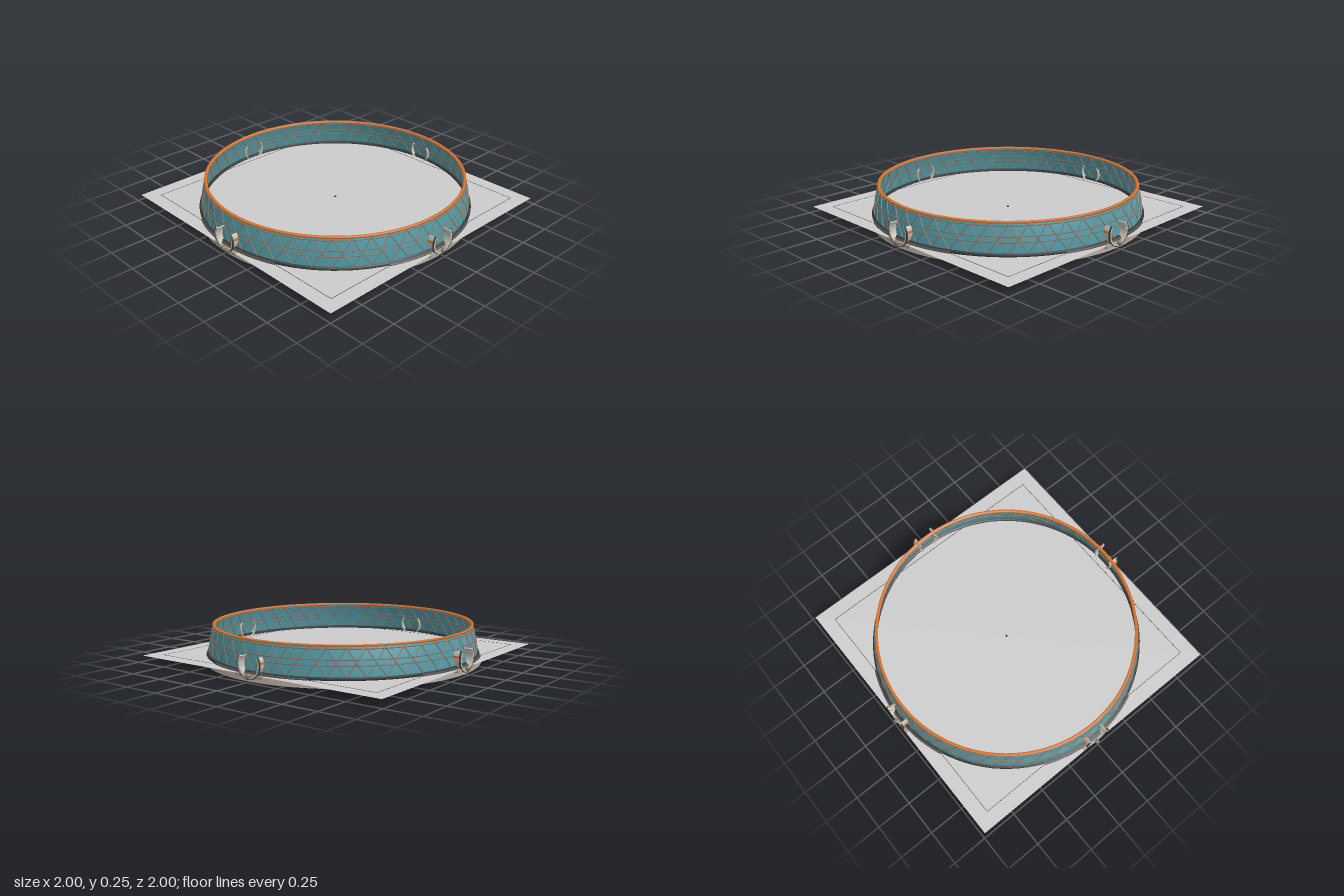
import * as THREE from 'three';

const mat = (color, side = THREE.FrontSide) => new THREE.MeshStandardMaterial({ color, side });
const V = (r, y) => new THREE.Vector2(r, y);

export function createModel() {
  const root = new THREE.Group();
  const stone = mat(0xa89c90), dark = mat(0x3a3a3a), orange = mat(0xe0752a);
  const teal = mat(0x4f98a4, THREE.DoubleSide), strutMat = mat(0x85786c), metal = mat(0xc4beb4, THREE.DoubleSide);

  const add = (parent, name, geometry, material, x = 0, y = 0, z = 0) => {
    const mesh = new THREE.Mesh(geometry, material);
    mesh.name = name;
    mesh.position.set(x, y, z);
    parent.add(mesh);
    return mesh;
  };

  // Round foundation and the thin square ground sheet
  add(root, 'foundation', new THREE.CylinderGeometry(0.955, 0.968, 0.042, 96), stone, 0, 0.021, 0);
  const sheet = add(root, 'groundSheet', new THREE.PlaneGeometry(1.96, 1.96), mat(0xcccccc, THREE.DoubleSide), 0, 0.046, 0);
  sheet.rotation.x = -Math.PI / 2;

  // Thin square outline on the sheet and centre marker
  for (let i = 0; i < 4; i++) {
    const side = new THREE.Group();
    side.name = 'sheetOutline';
    side.rotation.y = i * Math.PI / 2;
    add(side, 'outlineLine', new THREE.BoxGeometry(1.76, 0.001, 0.003), dark, 0, 0.0465, 0.88);
    root.add(side);
  }
  add(root, 'centreMarker', new THREE.CylinderGeometry(0.008, 0.008, 0.004, 12), dark, 0, 0.048, 0);

  // Dark footing ring below the wall
  add(root, 'footingRing', new THREE.LatheGeometry(
    [V(0.925, 0.046), V(0.955, 0.046), V(0.95, 0.062), V(0.925, 0.066), V(0.925, 0.046)], 96), dark);

  // Sloping wall, radius by height
  const radiusAt = y => 0.94 - 0.02 * (y - 0.06) / 0.19 - 0.02 * ((y - 0.06) / 0.19) ** 2;
  const profile = [];
  for (let i = 0; i <= 6; i++) {
    const y = 0.06 + 0.19 * i / 6;
    profile.push(V(radiusAt(y), y));
  }
  add(root, 'wall', new THREE.LatheGeometry(profile, 96), teal);

  // Orange top rim
  add(root, 'topRim', new THREE.LatheGeometry(
    [V(0.89, 0.242), V(0.908, 0.242), V(0.908, 0.254), V(0.89, 0.254), V(0.89, 0.242)], 128), orange);

  // Triangulated lattice of slim struts over the wall
  const lattice = new THREE.Group();
  lattice.name = 'lattice';
  root.add(lattice);
  const count = 48, rows = [0.062, 0.145, 0.236];
  const node = (row, k) => {
    const a = (k + row / 2) * 2 * Math.PI / count, r = radiusAt(rows[row]) + 0.001;
    return new THREE.Vector3(r * Math.sin(a), rows[row], r * Math.cos(a));
  };
  const struts = [];
  for (let row = 0; row < 2; row++) {
    for (let k = 0; k < count; k++) {
      struts.push([node(row, k), node(row + 1, k)], [node(row, k + 1), node(row + 1, k)]);
    }
  }
  const strutGeo = new THREE.CylinderGeometry(0.004, 0.004, 1, 6);
  const up = new THREE.Vector3(0, 1, 0);
  for (const [a, b] of struts) {
    const d = b.clone().sub(a), m = add(lattice, 'strut', strutGeo, strutMat);
    m.position.copy(a).add(b).multiplyScalar(0.5);
    m.scale.y = d.length();
    m.quaternion.setFromUnitVectors(up, d.normalize());
  }
  for (const y of [0.13, 0.165, 0.228]) {
    const hoop = add(lattice, 'hoop', new THREE.TorusGeometry(radiusAt(y), 0.004, 6, 96), strutMat, 0, y, 0);
    hoop.rotation.x = Math.PI / 2;
  }

  // Four doorways: a round tunnel, open at the top, with a front collar
  const start = Math.PI - 0.65, end = 2 * Math.PI + 0.65;
  const arcBand = (outer, inner, depth) => {
    const s = new THREE.Shape();
    s.absarc(0, 0, outer, start, end, false);
    s.absarc(0, 0, inner, end, start, true);
    s.closePath();
    return new THREE.ExtrudeGeometry(s, { depth, bevelEnabled: false, curveSegments: 32 });
  };
  for (let i = 0; i < 4; i++) {
    const door = new THREE.Group();
    door.name = 'doorway';
    door.rotation.y = i * Math.PI / 2;
    root.add(door);
    add(door, 'tunnel', arcBand(0.083, 0.076, 0.066), metal, 0, 0.108, 0.908);
    add(door, 'collar', arcBand(0.093, 0.078, 0.008), metal, 0, 0.108, 0.972);
    add(door, 'collarEdge', arcBand(0.095, 0.09, 0.01), dark, 0, 0.108, 0.971);
    add(door, 'doorStep', new THREE.BoxGeometry(0.23, 0.022, 0.04), stone, 0, 0.036, 0.958);
    add(door, 'stepKnob', new THREE.SphereGeometry(0.016, 16, 12), strutMat, 0, 0.04, 0.984);
    for (const s of [-1, 1]) {
      add(door, 'sideLight', new THREE.BoxGeometry(0.006, 0.015, 0.05), orange, s * 0.084, 0.122, 0.946);
    }
    // Low curved ledge either side of the doorway
    const ledge = new THREE.LatheGeometry(
      [V(0.952, 0.046), V(0.964, 0.046), V(0.964, 0.054), V(0.952, 0.056)], 24, -0.41, 0.82);
    add(door, 'ledge', ledge, mat(0x55514c, THREE.DoubleSide));
  }
  return root;
}
